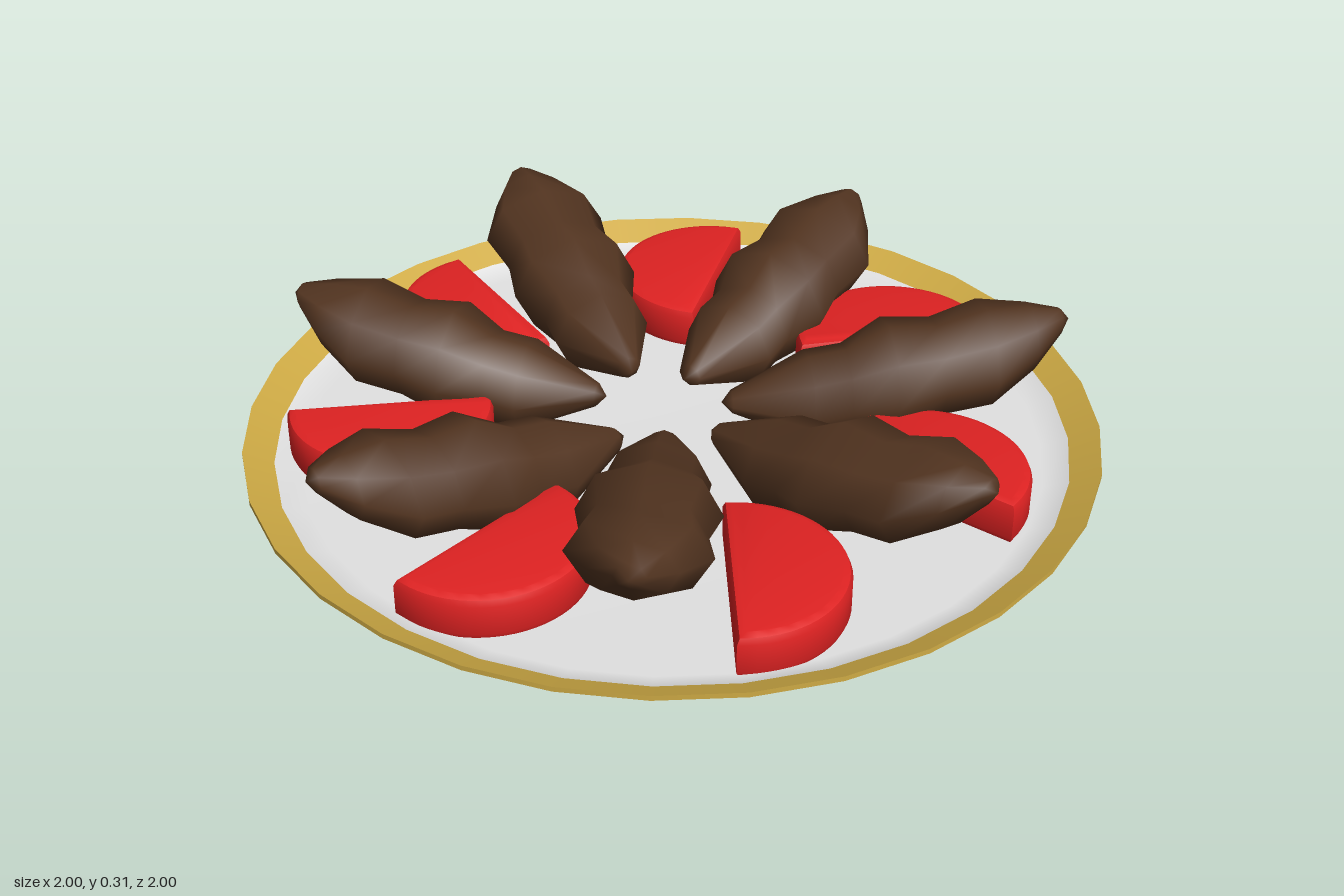
import * as THREE from 'three';
import { mergeVertices, toCreasedNormals } from 'three/addons/utils/BufferGeometryUtils.js';

const mat = (name, color) => {
  const m = new THREE.MeshStandardMaterial({ color });
  m.name = name;
  return m;
};

export function createModel() {
  const group = new THREE.Group();
  const china = mat('white china', 0xe2e2e2);
  const gold = mat('gold rim', 0xcfab45);
  const meat = mat('browned meat', 0x523420);
  const red = mat('tomato red', 0xdf2222);

  const add = (name, geometry, material, parent = group) => {
    const mesh = new THREE.Mesh(geometry, material);
    mesh.name = name;
    parent.add(mesh);
    return mesh;
  };
  const lathe = (pts, n) => new THREE.LatheGeometry(pts.map(p => new THREE.Vector2(...p)), n);

  // Plate: underside, outer rim, lip, sloping inner rim, dished floor
  add('plateUnderside', toCreasedNormals(lathe([[0, 0.025], [0.89, 0.025], [0.925, 0.045]], 32), 0.4), china);
  add('rimOutside', lathe([[0.925, 0.045], [1, 0.088]], 32), gold);
  add('rimLip', lathe([[1, 0.088], [1, 0.1]], 32), gold);
  add('rimInside', lathe([[1, 0.1], [0.93, 0.065]], 32), gold);
  add('plateFloor', lathe([[0.93, 0.065], [0.87, 0.04], [0, 0.04]], 32), china);

  // Meat piece: knobbly spindle along x, bent upward towards its outer end
  // Columns: position along the length, half width, half height, centre height
  const rings = [
    [0, 0, 0, 0.115], [0.03, 0.03, 0.028, 0.115], [0.25, 0.122, 0.107, 0.119],
    [0.36, 0.118, 0.108, 0.132], [0.48, 0.162, 0.132, 0.163], [0.62, 0.138, 0.108, 0.182],
    [0.76, 0.158, 0.112, 0.214], [0.89, 0.095, 0.075, 0.25], [0.975, 0.034, 0.03, 0.286], [1, 0, 0, 0.29],
  ];
  const sides = 8;
  const spindle = lathe(rings.map(r => [r[1], r[0]]), sides);
  const p = spindle.attributes.position;
  for (let i = 0; i < p.count; i++) {
    const r = rings[i % rings.length];
    const flatten = r[1] ? r[2] / r[1] : 1;
    p.setXYZ(i, r[0], r[3] - p.getX(i) * flatten, p.getZ(i));
  }
  spindle.deleteAttribute('normal');
  spindle.deleteAttribute('uv');
  const meatGeometry = mergeVertices(spindle, 1e-4);
  meatGeometry.computeVertexNormals();

  // Inner tip x, z and outer tip x, z of each piece
  const pieces = [
    [0.13, -0.06, 0.9, -0.07], [0.1, 0.07, 0.66, 0.675], [-0.01, 0.12, -0.07, 0.89],
    [-0.09, 0.045, -0.76, 0.45], [-0.15, -0.03, -0.89, -0.3],
    [-0.04, -0.165, -0.33, -0.885], [0.08, -0.18, 0.48, -0.86],
  ];
  pieces.forEach(([x0, z0, x1, z1], i) => {
    const mesh = add('meatPiece' + (i + 1), meatGeometry, meat);
    mesh.position.set(x0, 0, z0);
    mesh.rotation.y = Math.atan2(z0 - z1, x1 - x0);
    mesh.scale.x = Math.hypot(x1 - x0, z1 - z0);
  });

  // Tomato slice: bevelled half disc, its curve towards -z
  const bevel = 0.02;
  const half = new THREE.Shape();
  half.absarc(0, bevel, 0.22, 0, Math.PI, false);
  half.closePath();
  const slice = new THREE.ExtrudeGeometry(half, {
    depth: 0.07, bevelEnabled: true, bevelSize: bevel, bevelThickness: bevel, bevelSegments: 2, curveSegments: 16,
  });
  slice.rotateX(-Math.PI / 2);
  slice.translate(0, 0.032 + bevel, 0);
  const sliceGeometry = toCreasedNormals(slice, 0.7);

  // Middle of each cut edge, and the direction in which the slice bulges
  const slices = [
    [0.15, -0.645, -0.93, -0.37], [0.59, -0.285, -0.35, -0.94], [0.57, 0.265, 0.68, -0.73],
    [0.105, 0.61, 1, 0.02], [-0.44, 0.47, 0.62, 0.78], [-0.65, -0.045, -0.1, 1], [-0.385, -0.54, -0.72, 0.69],
  ];
  slices.forEach(([x, z, dx, dz], i) => {
    const mesh = add('tomatoSlice' + (i + 1), sliceGeometry, red);
    mesh.position.set(x, 0, z);
    mesh.rotation.y = Math.atan2(-dx, -dz);
  });

  return group;
}
